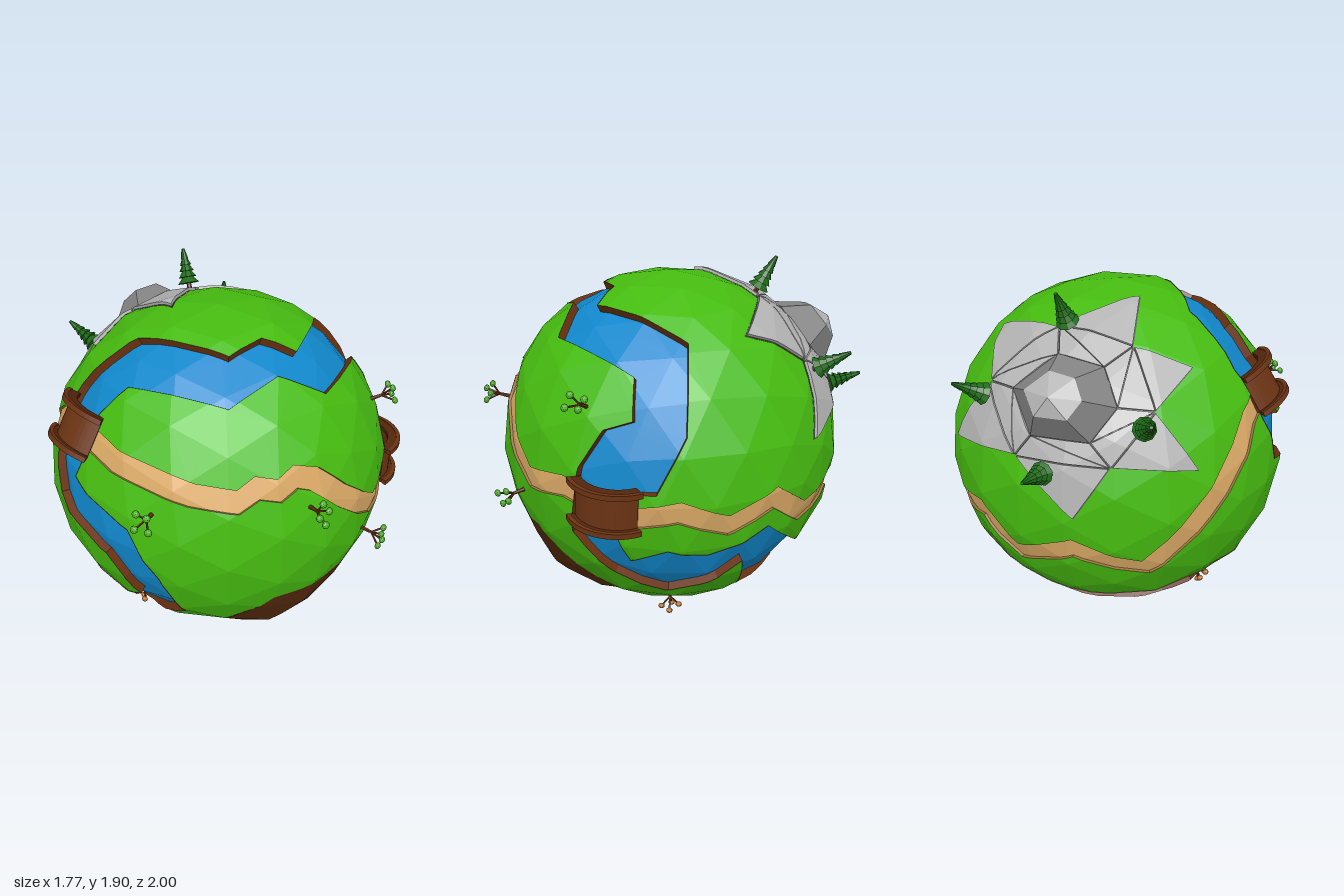
import * as THREE from 'three';

const R = 0.88;
const vec = (a) => new THREE.Vector3(...a);
const dir = (a) => vec(a).normalize();
const next = (list, i) => list[(i + 1) % list.length];
const mat = (color) => new THREE.MeshStandardMaterial({ color, flatShading: true, side: THREE.DoubleSide });
const M = {
  grass: mat(0x46bb10), water: mat(0x1188cc), bank: mat(0x6a3212), path: mat(0xd9a865), pathEdge: mat(0x9c7440),
  mud: mat(0x562a0e), rock: mat(0xb4b4b4), crack: mat(0x5a5a5a), peak: mat(0x858585), wood: mat(0x6b3313),
  darkWood: mat(0x54260c), pine: mat(0x1f6b18), leaf: mat(0x4fb028), dryLeaf: mat(0xb87430),
};

function add(parent, name, geometry, material) {
  const m = new THREE.Mesh(geometry, material);
  m.name = name;
  parent.add(m);
  return m;
}

// Flat polygons, fanned into triangles
function polyGeometry(polys) {
  const out = [];
  for (const p of polys)
    for (let i = 1; i < p.length - 1; i++) for (const v of [p[0], p[i], p[i + 1]]) out.push(v.x, v.y, v.z);
  const g = new THREE.BufferGeometry();
  g.setAttribute('position', new THREE.Float32BufferAttribute(out, 3));
  g.computeVertexNormals();
  return g;
}
const scaled = (polys, s) => polys.map((p) => p.map((v) => v.clone().multiplyScalar(s)));

// Triangular cone from the globe's centre; walls flags its edges ab, bc, ca
function cell(a, b, c, walls = [1, 1, 1]) {
  const s = Math.sign(a.clone().cross(b).dot(c));
  return [[a, b], [b, c], [c, a]].map(([p, q], i) => ({ n: p.clone().cross(q).normalize().multiplyScalar(s), wall: walls[i] }));
}

function split(poly, n) {
  const inn = [], out = [];
  poly.forEach((p, i) => {
    const q = next(poly, i), d = n.dot(p), e = n.dot(q);
    if (d > -1e-7) inn.push(p);
    if (d < 1e-7) out.push(p);
    if ((d > 1e-7 && e < -1e-7) || (d < -1e-7 && e > 1e-7)) {
      const x = p.clone().lerp(q, d / (d - e));
      inn.push(x);
      out.push(x);
    }
  });
  const has = (list, s) => list.length > 2 && list.some((p) => n.dot(p) * s > 1e-6);
  return [has(inn, 1) ? inn : null, has(out, -1) ? out : null];
}

// Cuts the cells out of the faceted surface, noting edges that need a wall
function carve(polys, cells) {
  let outside = polys;
  const inside = [], edges = [];
  for (const c of cells) {
    const kept = [];
    for (const poly of outside) {
      let rest = poly;
      const cut = [];
      for (const { n } of c) {
        const [i, o] = split(rest, n);
        if (o) cut.push(o);
        rest = i;
        if (!rest) break;
      }
      if (!rest) { kept.push(poly); continue; }
      kept.push(...cut);
      inside.push(rest);
      rest.forEach((p, i) => {
        const q = next(rest, i);
        if (c.some(({ n, wall }) => wall && Math.abs(n.dot(p)) < 1e-6 && Math.abs(n.dot(q)) < 1e-6)) edges.push([p, q]);
      });
    }
    outside = kept;
  }
  const walls = (s0, s1) => edges.map(([p, q]) => [
    p.clone().multiplyScalar(s0), q.clone().multiplyScalar(s0), q.clone().multiplyScalar(s1), p.clone().multiplyScalar(s1)]);
  return { inside, outside, walls };
}

// Closed ribbon around a centre line of [x, y, z, half width]
function ribbon(points, halfWidth) {
  const line = points.map(([x, y, z]) => dir([x, y, z])), n = line.length;
  const bank = (s) => line.map((q, i) => {
    const along = next(line, i).clone().sub(line[(i + n - 1) % n]);
    const w = (points[i][3] ?? halfWidth) / R;
    return q.clone().addScaledVector(q.clone().cross(along).normalize(), s * w).normalize();
  });
  const l = bank(-1), r = bank(1);
  return l.flatMap((a, i) => [cell(a, next(l, i), next(r, i), [1, 0, 0]), cell(a, next(r, i), r[i], [0, 1, 0])]);
}

const RIVER = [
  [-.655, .545, -.09, .13], [-.465, .715, 0, .14], [-.225, .735, .4, .13], [.01, .78, .385, .11], [.174, .693, .49, .12],
  [.59, .605, .18, .145], [.765, .35, .23, .125], [.745, .2, .36, .19], [.71, .113, .5, .11], [.67, -.175, .52, .12],
  [.685, -.365, .395, .08], [.735, -.395, .19, .19], [.785, -.365, -.015, .11], [.795, -.265, -.22, .115],
  [.58, -.51, -.35, .2], [.34, -.545, -.575, .135], [-.15, -.615, -.59, .12], [-.4, -.575, -.515, .11],
  [-.57, -.53, -.375, .135], [-.655, -.54, -.115, .17], [-.64, -.55, .175, .13], [-.64, -.37, .45, .12],
  [-.735, -.16, .425, .11], [-.79, .035, .32, .13], [-.85, .15, -.045, .12], [-.79, .345, -.075, .135],
];
const PATH = [
  [-.75, .45, -.06], [-.73, .42, .24], [-.55, .37, .58], [-.39, .343, .71], [-.3, .394, .73], [-.21, .365, .77], [-.12, .404, .77],
  [-.03, .37, .8], [.12, .226, .84], [.26, .104, .83], [.39, .01, .79], [.59, .043, .65], [.74, 0, .48], [.8, -.05, .34],
  [.86, -.02, .165], [.866, -.11, -.065], [.82, -.018, -.3], [.71, -.17, -.48], [.485, -.11, -.72], [.27, -.28, -.78],
  [-.03, -.15, -.86], [-.36, -.27, -.75], [-.737, .363, -.3],
];
const PEAK = dir([.05, .53, -.74]);
const TIPS = [[-.16, .85, -.16], [.52, .67, -.23], [.67, .18, -.54], [-.05, .03, -.87], [-.57, .23, -.63], [-.47, .62, -.4]].map(dir);
const MUD = [[-.22, -.29, .79], [.33, -.29, .76], [.44, -.48, .57], [.43, -.72, .25], [.1, -.86, .12], [-.25, -.82, .15], [-.43, -.62, .45]].map(dir);

// Group standing on the globe, its x axis optionally turned along a direction
function place(parent, name, at, along) {
  const g = new THREE.Group(), y = dir(at);
  g.name = name;
  if (along) {
    const x = vec(along).addScaledVector(y, -vec(along).dot(y)).normalize();
    g.quaternion.setFromRotationMatrix(new THREE.Matrix4().makeBasis(x, y, x.clone().cross(y)));
  } else g.quaternion.setFromUnitVectors(new THREE.Vector3(0, 1, 0), y);
  g.position.copy(y).multiplyScalar(R * 0.98);
  parent.add(g);
  return g;
}

function pineTree(parent, at) {
  const g = place(parent, 'pineTree', at);
  add(g, 'pineTrunk', new THREE.CylinderGeometry(.011, .014, .07, 6), M.wood).position.y = .025;
  for (let i = 0; i < 5; i++)
    add(g, 'pineTier', new THREE.CylinderGeometry(.008, .056 - i * .009, .052, 9), M.pine).position.y = .07 + i * .031;
}

function smallTree(parent, at, leaf) {
  const g = place(parent, 'smallTree', at);
  add(g, 'trunk', new THREE.CylinderGeometry(.007, .011, .08, 6), M.wood).position.y = .035;
  for (let i = 0; i < 4; i++) {
    const a = i * 1.65, r = .034 + (i % 2) * .014, h = .105 + (i % 3) * .012;
    const end = new THREE.Vector3(Math.cos(a) * r, h, Math.sin(a) * r);
    const curve = new THREE.LineCurve3(new THREE.Vector3(0, .06, 0), end);
    add(g, 'branch', new THREE.TubeGeometry(curve, 1, .005, 5), M.wood);
    const blob = add(g, 'leaves', new THREE.IcosahedronGeometry(.018, 1), leaf);
    blob.position.copy(end);
    blob.scale.y = .8;
  }
}

// Arched bridge: plank deck between two raised side rails
function bridge(parent, at, along) {
  const g = place(parent, 'bridge', at, along), half = .9;
  const arc = (r0, r1, depth, z, name, material) => {
    const s = new THREE.Shape();
    s.absarc(0, 0, r1, Math.PI / 2 - half, Math.PI / 2 + half, false);
    s.absarc(0, 0, r0, Math.PI / 2 + half, Math.PI / 2 - half, true);
    const geo = new THREE.ExtrudeGeometry(s, { depth, bevelEnabled: false, curveSegments: 8 });
    add(g, name, geo.translate(0, -.125, z), material);
  };
  arc(.175, .195, .18, -.09, 'deck', M.wood);
  for (const z of [-.105, .085]) {
    arc(.17, .215, .02, z, 'sideBeam', M.darkWood);
    arc(.215, .235, .026, z - .003, 'handrail', M.wood);
  }
}

export function createModel() {
  const model = new THREE.Group(), globe = new THREE.Group();
  globe.name = 'globe';
  globe.position.set(0, .983, .03);
  model.add(globe);

  // Faceted ball as a list of triangles
  const p = new THREE.IcosahedronGeometry(R, 3).attributes.position;
  const ground = [];
  for (let i = 0; i < p.count; i += 3) ground.push([0, 1, 2].map((k) => new THREE.Vector3().fromBufferAttribute(p, i + k)));

  // Sunken river and path
  const river = carve(ground, ribbon(RIVER));
  add(globe, 'river', polyGeometry(scaled(river.inside, .957)), M.water);
  add(globe, 'riverBanks', polyGeometry(river.walls(.957, 1.004)), M.bank);
  const path = carve(river.outside, ribbon(PATH, .055));
  add(globe, 'path', polyGeometry(scaled(path.inside, .985)), M.path);
  add(globe, 'pathEdges', polyGeometry(path.walls(.985, 1)), M.pathEdge);

  // Bulging mud patch
  const mudMid = dir([0, -.68, .56]);
  const mud = carve(path.outside, MUD.map((a, i) => cell(mudMid, a, next(MUD, i))));
  const bulge = (v) => {
    const d = v.clone().normalize().distanceTo(mudMid);
    return v.clone().multiplyScalar(1 + .065 * (1 - THREE.MathUtils.smoothstep(d, .1, .5)));
  };
  add(globe, 'mudPatch', polyGeometry(mud.inside.map((q) => q.map(bulge))), M.mud);

  // Mountain: star of cracked plates around a six-sided peak
  const valley = TIPS.map((t, i) => t.clone().add(next(TIPS, i)).multiplyScalar(.33).addScaledVector(PEAK, .34).normalize());
  const hex = valley.map((v) => PEAK.clone().lerp(v, .6).normalize());
  const plates = valley.flatMap((v, i) => [
    [v, next(TIPS, i), next(valley, i)], [hex[i], v, next(valley, i)], [hex[i], next(valley, i), next(hex, i)]]);
  const core = hex.map((h, i) => [PEAK, h, next(hex, i)]);
  const rock = carve(mud.outside, [...plates, ...core].map((t) => cell(...t)));
  add(globe, 'rockBase', polyGeometry(scaled(rock.inside, 1.002)), M.crack);
  const shrink = (t) => {
    const m = t[0].clone().add(t[1]).add(t[2]).divideScalar(3);
    return t.map((v) => v.clone().lerp(m, .045));
  };
  const slab = carve(rock.inside, plates.map((t) => cell(...shrink(t))));
  add(globe, 'rockPlates', polyGeometry(scaled(slab.inside, 1.018)), M.rock);
  add(globe, 'rockPlateEdges', polyGeometry(slab.walls(1, 1.018)), M.rock);
  const foot = hex.map((h) => h.clone().multiplyScalar(R * 1.01));
  const top = hex.map((h) => PEAK.clone().multiplyScalar(1.01).addScaledVector(h.clone().sub(PEAK), .48));
  add(globe, 'peakSides', polyGeometry(foot.map((f, i) => [f, next(foot, i), next(top, i), top[i]])), M.peak);
  const summit = PEAK.clone().multiplyScalar(1.045);
  add(globe, 'peakTop', polyGeometry(top.map((t, i) => [summit, t, next(top, i)])), M.rock);

  add(globe, 'grass', polyGeometry(rock.outside), M.grass);

  bridge(globe, [.74, 0, .48], [-.55, .06, .83]);
  bridge(globe, [-.75, .45, -.07], [0, .03, 1]);
  for (const at of [[.12, .85, -.46], [.5, .5, -.66], [-.36, .49, -.78], [.1, .26, -.93]]) pineTree(globe, at);
  for (const at of [[-.73, .27, .5], [-.085, .27, .88], [.33, -.1, .87], [.61, .44, .55]]) smallTree(globe, at, M.leaf);
  for (const at of [[-.5, -.8, -.03], [.27, -.93, .07]]) smallTree(globe, at, M.dryLeaf);
  return model;
}
